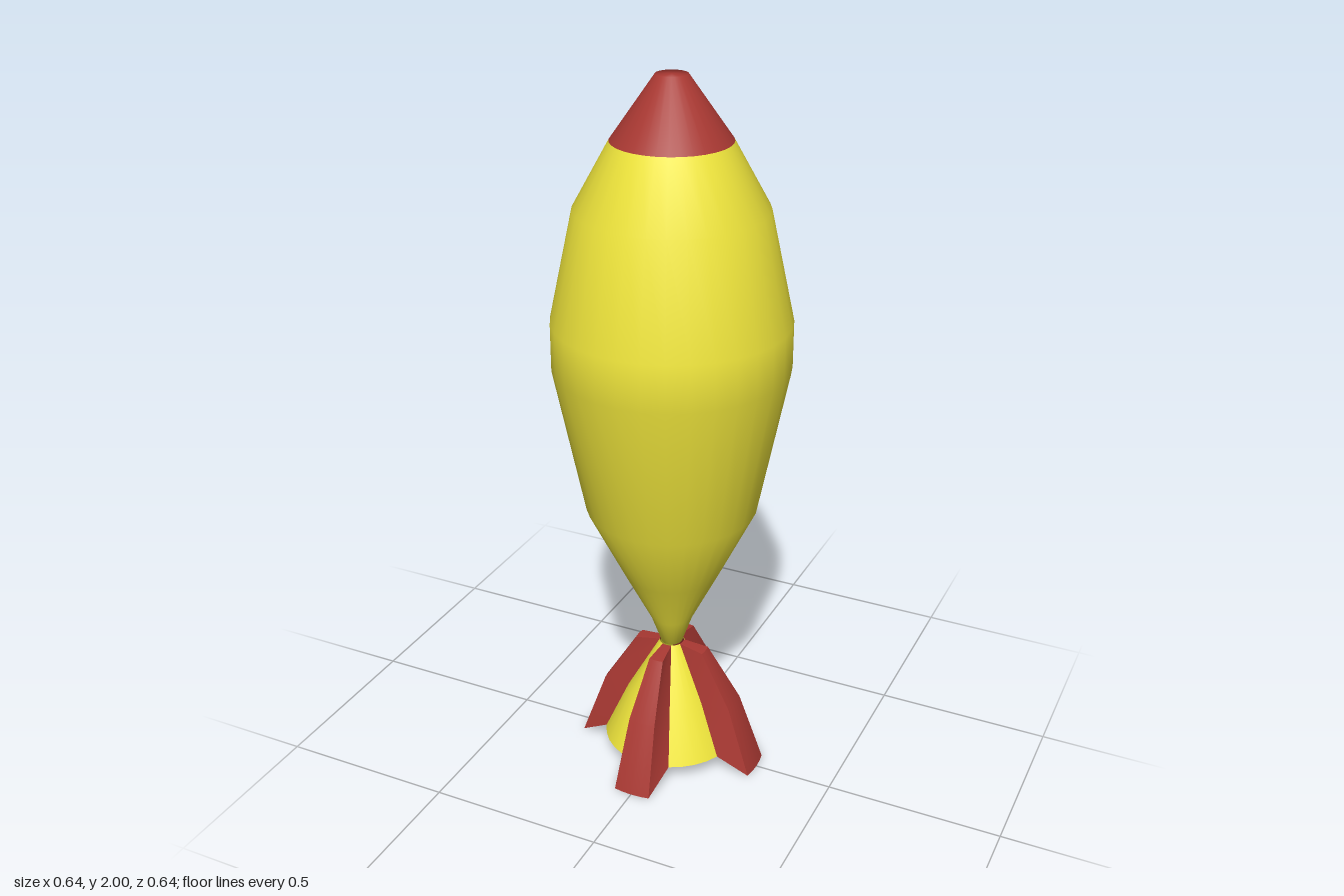
import * as THREE from 'three';
import { toCreasedNormals } from 'three/addons/utils/BufferGeometryUtils.js';

const yellow = new THREE.MeshStandardMaterial({ color: 0xf0e63c });
const red = new THREE.MeshStandardMaterial({ color: 0xa83832 });
const yellowShell = new THREE.MeshStandardMaterial({ color: 0xf0e63c, side: THREE.DoubleSide });
const redShell = new THREE.MeshStandardMaterial({ color: 0xa83832, side: THREE.DoubleSide });

// Tail skirt profile and outer fin profile, as [radius, y] from top to bottom
const SKIRT = [[0.035, 0.365], [0.127, 0.205], [0.195, 0.055]];
const FIN = [[0.107, 0.355], [0.203, 0.2], [0.274, 0]];
const SECTOR = Math.PI / 4;

function lathe(name, profile, material, start = 0, length = Math.PI * 2, segments = 32) {
  const points = profile.map(([r, y]) => new THREE.Vector2(r, y));
  const mesh = new THREE.Mesh(new THREE.LatheGeometry(points, segments, start, length), material);
  mesh.name = name;
  return mesh;
}

// Wedge fin: wide where it sits on the skirt, half as wide at its outer face
function finGeometry() {
  const pos = [];
  const quad = (a, b, c, d) => pos.push(...a, ...b, ...c, ...a, ...c, ...d);
  const at = ([r, y], angle) => [r * Math.sin(angle), y, r * Math.cos(angle)];
  const steps = 4;
  const columns = [];
  for (let j = 0; j <= steps; j++) {
    const a = (j / steps - 0.5) * SECTOR;
    columns.push({
      inner: SKIRT.map((p) => at(p, a)),
      outer: FIN.map((p) => at(p, a / 2)),
    });
  }
  // Top, outer face and underside
  const wrap = columns.map(({ inner, outer }) => [inner[0], ...outer, inner[2]]);
  for (let j = 0; j < steps; j++) {
    for (let k = 0; k < 4; k++) {
      quad(wrap[j][k + 1], wrap[j + 1][k + 1], wrap[j + 1][k], wrap[j][k]);
    }
  }
  // Side walls
  const first = columns[0], last = columns[steps];
  for (let k = 0; k < 2; k++) {
    quad(last.outer[k + 1], last.inner[k + 1], last.inner[k], last.outer[k]);
    quad(first.inner[k + 1], first.outer[k + 1], first.outer[k], first.inner[k]);
  }
  const geometry = new THREE.BufferGeometry();
  geometry.setAttribute('position', new THREE.Float32BufferAttribute(pos, 3));
  return toCreasedNormals(geometry, 0.8);
}

export function createModel() {
  const model = new THREE.Group();
  model.name = 'rocketBomb';

  // Teardrop hull and nose cap
  model.add(lathe('body', [
    [0, 0.365], [0.03, 0.365], [0.06, 0.45], [0.135, 0.6], [0.237, 0.81],
    [0.32, 1.23], [0.32, 1.36], [0.255, 1.66], [0.158, 1.835],
  ], yellow));
  model.add(lathe('noseCap', [[0.158, 1.835], [0.042, 2], [0, 2]], red));

  // Open tail skirt in eight alternating sectors, with a fin on every red one
  const tail = new THREE.Group();
  tail.name = 'tail';
  const profile = [...SKIRT].reverse();
  const finGeo = finGeometry();
  for (let i = 0; i < 8; i++) {
    const isFin = i % 2 === 0;
    tail.add(lathe(isFin ? 'finBase' : 'skirtPanel', profile,
      isFin ? redShell : yellowShell, (i - 0.5) * SECTOR, SECTOR, 4));
    if (isFin) {
      const fin = new THREE.Mesh(finGeo, red);
      fin.name = 'tailFin';
      fin.rotation.y = i * SECTOR;
      tail.add(fin);
    }
  }
  model.add(tail);
  return model;
}
